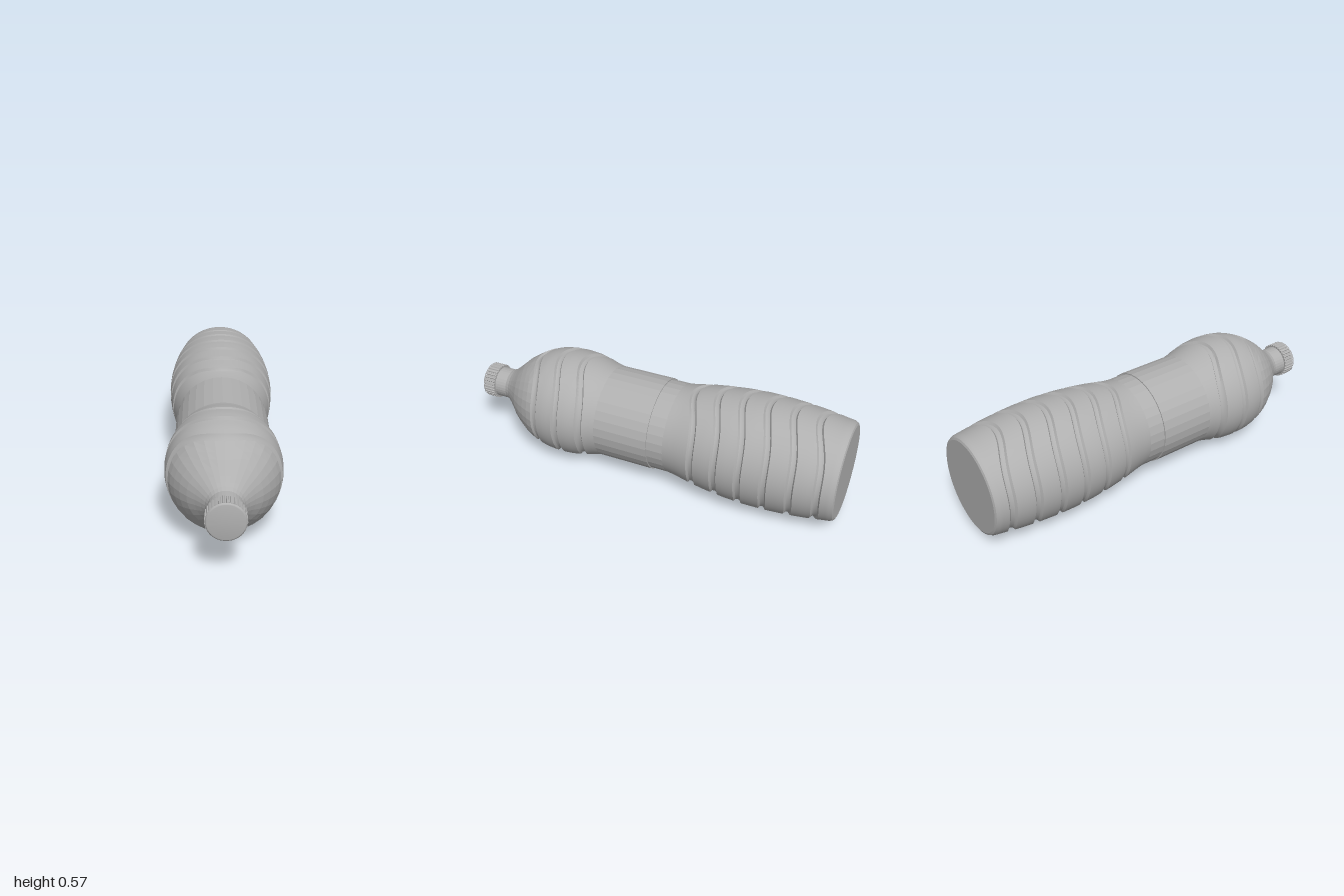
import * as THREE from 'three';
import { toCreasedNormals } from 'three/addons/utils/BufferGeometryUtils.js';

// Bottle radius along its axis: [z, radius]
const PROFILE = [
  [-1, 0.232], [-0.995, 0.243], [-0.98, 0.251], [-0.93, 0.258], [-0.85, 0.27], [-0.75, 0.28],
  [-0.65, 0.286], [-0.55, 0.287], [-0.45, 0.282], [-0.35, 0.272], [-0.25, 0.257], [-0.18, 0.242],
  [-0.13, 0.234], [0, 0.236], [0.25, 0.24], [0.29, 0.248], [0.34, 0.263], [0.4, 0.275], [0.47, 0.28],
  [0.53, 0.277], [0.59, 0.266], [0.65, 0.244], [0.7, 0.215], [0.75, 0.178], [0.8, 0.128],
  [0.84, 0.092], [0.866, 0.08], [0.95, 0.08],
];

function lookup(table, z) {
  if (z <= table[0][0]) return table[0][1];
  for (let i = 1; i < table.length; i++) {
    const [z0, r0] = table[i - 1], [z1, r1] = table[i];
    if (z <= z1) return r0 + ((r1 - r0) * (z - z0)) / (z1 - z0);
  }
  return table[table.length - 1][1];
}

// How strongly the wave bends the rings at each station
const WAVE = [[-0.97, 0], [-0.9, 1], [-0.225, 1], [-0.13, 0], [0.25, 0], [0.345, 1], [0.645, 1], [0.84, 0]];
const WAVE_HEIGHT = 0.036;

// Skin through rows of [station, depth]; the wave pushes rings forward at top and bottom
function skin(rows, sides) {
  const pos = [], index = [];
  for (const [s, depth] of rows) {
    for (let j = 0; j < sides; j++) {
      const a = (j / sides) * Math.PI * 2;
      const z = s + WAVE_HEIGHT * lookup(WAVE, s) * Math.cos(Math.PI * Math.cos(a));
      const r = lookup(PROFILE, z) - depth;
      pos.push(r * Math.cos(a), r * Math.sin(a), z);
    }
  }
  for (let i = 0; i < rows.length - 1; i++) {
    for (let j = 0; j < sides; j++) {
      const k = (j + 1) % sides;
      const a = i * sides + j, b = i * sides + k, c = a + sides, d = b + sides;
      index.push(a, b, c, c, b, d);
    }
  }
  const g = new THREE.BufferGeometry();
  g.setAttribute('position', new THREE.Float32BufferAttribute(pos, 3));
  g.setIndex(index);
  return g;
}

function faceted(g) {
  const flat = g.index ? g.toNonIndexed() : g;
  flat.computeVertexNormals();
  return flat;
}

// Rows from start to end with a groove cut at each centre
const GROOVE = [[-0.019, 0], [-0.011, 0.012], [0, 0.015], [0.011, 0.012], [0.019, 0]];
function groovedRows(start, centres, end) {
  const rows = start.map((s) => [s, 0]);
  for (const c of centres) {
    const from = rows[rows.length - 1][0], to = c - 0.019;
    for (let k = 1; k < 4; k++) rows.push([from + ((to - from) * k) / 4, 0]);
    for (const [ds, d] of GROOVE) rows.push([c + ds, d]);
  }
  const from = rows[rows.length - 1][0];
  if (end > from) for (let k = 1; k <= 4; k++) rows.push([from + ((end - from) * k) / 4, 0]);
  return rows;
}

export function createModel() {
  const model = new THREE.Group();
  const bottle = new THREE.Group();
  bottle.name = 'bottle';
  bottle.position.y = 0.2875;
  model.add(bottle);

  const grey = new THREE.MeshStandardMaterial({ color: 0xb0b0b0 });
  grey.name = 'plain grey';
  const add = (name, geometry) => {
    const mesh = new THREE.Mesh(geometry, grey);
    mesh.name = name;
    bottle.add(mesh);
    return mesh;
  };

  // Grooved lower body with a rounded foot
  const lower = [-0.88, -0.753, -0.626, -0.499, -0.372, -0.245];
  add('lowerBody', toCreasedNormals(skin(groovedRows([-1, -0.995, -0.98, -0.96], lower, -0.125), 96), 0.6));
  const base = add('base', new THREE.CircleGeometry(0.232, 96));
  base.rotation.y = Math.PI;
  base.position.z = -1;

  // Grooved upper body
  const upper = [0.367, 0.495, 0.624];
  add('upperBody', toCreasedNormals(skin(groovedRows([0.25, 0.27], upper, 0), 96), 0.6));

  // Faceted waist, with the label band slightly proud of it
  const band = (name, radius, z0, z1, open) => {
    const g = new THREE.CylinderGeometry(radius, radius, z1 - z0, 32, 1, open);
    g.rotateX(Math.PI / 2);
    g.translate(0, 0, (z0 + z1) / 2);
    add(name, faceted(g));
  };
  band('waist', 0.2345, -0.135, -0.02, true);
  band('labelBand', 0.2405, -0.04, 0.262, false);

  // Faceted shoulder that narrows to the neck
  const shoulder = [0.643, 0.67, 0.7, 0.735, 0.77, 0.8, 0.825, 0.845, 0.866, 0.94].map((s) => [s, 0]);
  add('shoulderAndNeck', faceted(skin(shoulder, 32)));

  // Screw cap with gripping ridges
  const outline = new THREE.Shape();
  const ridges = 32;
  for (let i = 0; i < ridges; i++) {
    [[0, 0.0865], [0.25, 0.0865], [0.4, 0.092], [0.85, 0.092]].forEach(([t, r], k) => {
      const a = ((i + t) / ridges) * Math.PI * 2;
      const x = r * Math.cos(a), y = r * Math.sin(a);
      if (i + k === 0) outline.moveTo(x, y);
      else outline.lineTo(x, y);
    });
  }
  outline.closePath();
  const grip = new THREE.ExtrudeGeometry(outline, { depth: 0.062, bevelEnabled: false });
  grip.translate(0, 0, 0.93);
  add('capGrip', grip);

  // Rounded cap top
  const top = new THREE.LatheGeometry(
    [[0.0895, 0], [0.089, 0.004], [0.086, 0.007], [0.082, 0.008], [0, 0.008]].map(([r, h]) => new THREE.Vector2(r, h)), 64);
  top.rotateX(Math.PI / 2);
  top.translate(0, 0, 0.992);
  add('capTop', toCreasedNormals(top, 0.9));

  return model;
}
